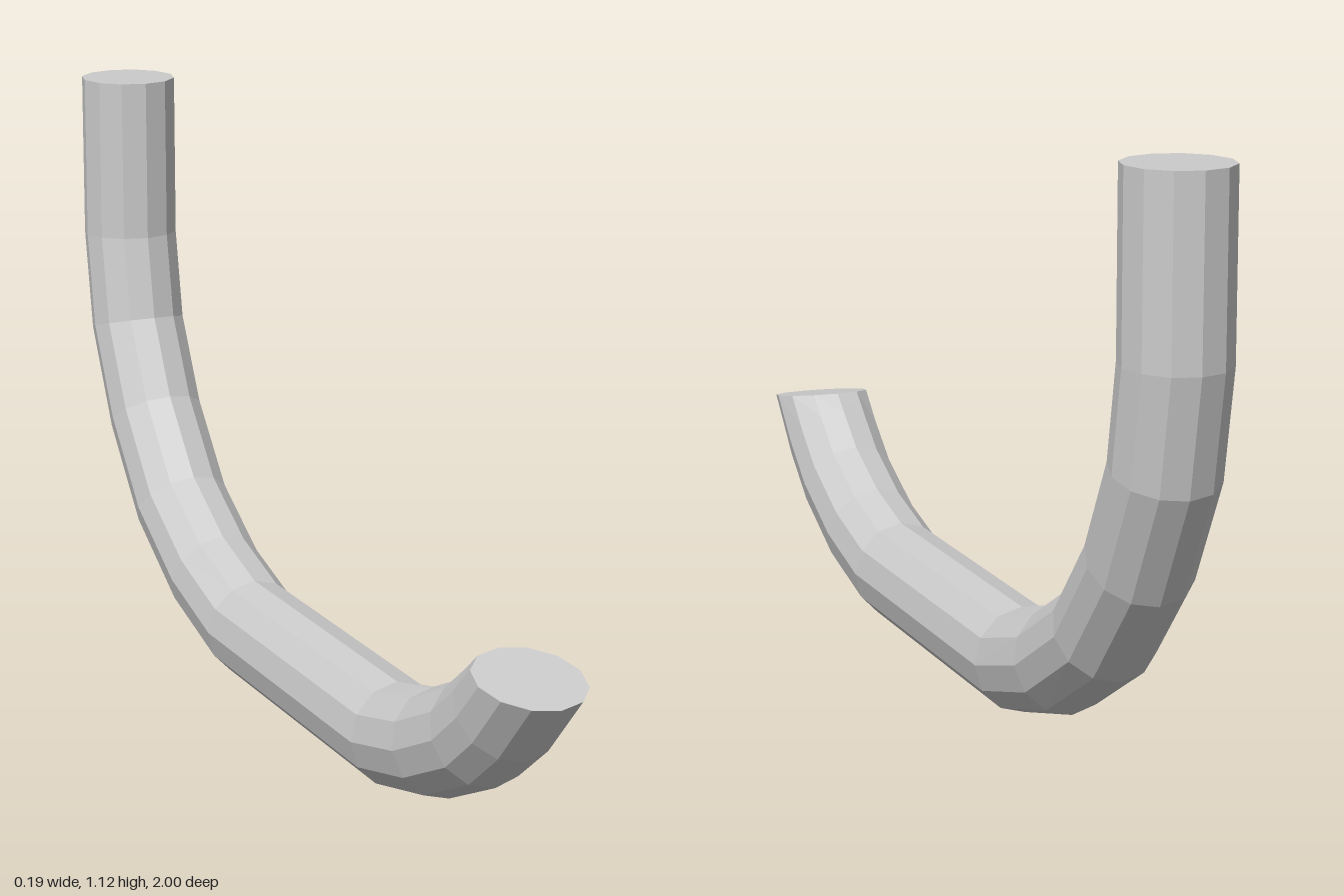
import * as THREE from 'three';

const SIDES = 12;
const HALF_WIDTH = 0.097;

// Stations along the pipe: z, y, heading of the section in degrees, in-plane radius
const STATIONS = [
  [-0.9, 1.12, -90, 0.1],
  [-0.9, 0.79, -88, 0.1],
  [-0.865, 0.6, -74, 0.1],
  [-0.77, 0.42, -56, 0.1],
  [-0.63, 0.26, -43, 0.1],
  [-0.45, 0.155, -23, 0.1],
  [-0.26, 0.1, -5, 0.1],
  [0.4, 0.1, 4, 0.1],
  [0.57, 0.143, 20, 0.1],
  [0.72, 0.215, 34, 0.1],
  [0.81, 0.287, 46, 0.1],
  [0.89, 0.37, 80, 0.112], // slanted cut
];

function pipeGeometry() {
  const pos = [];
  const index = [];
  const id = (k, i) => k * SIDES + (i % SIDES);

  // Rings of the wall
  for (const [z, y, deg, r] of STATIONS) {
    const h = THREE.MathUtils.degToRad(deg);
    for (let i = 0; i < SIDES; i++) {
      const a = (i / SIDES) * Math.PI * 2;
      const out = r * Math.cos(a);
      pos.push(HALF_WIDTH * Math.sin(a), y - Math.cos(h) * out, z + Math.sin(h) * out);
    }
  }
  const last = STATIONS.length - 1;
  for (let k = 0; k < last; k++) {
    for (let i = 0; i < SIDES; i++) {
      const a = id(k, i), b = id(k, i + 1), c = id(k + 1, i + 1), d = id(k + 1, i);
      index.push(a, b, d, b, c, d);
    }
  }

  // Flat end caps
  const start = pos.length / 3;
  for (const k of [0, last]) pos.push(0, STATIONS[k][1], STATIONS[k][0]);
  for (let i = 0; i < SIDES; i++) {
    index.push(start, id(0, i + 1), id(0, i));
    index.push(start + 1, id(last, i), id(last, i + 1));
  }

  const geo = new THREE.BufferGeometry();
  geo.setAttribute('position', new THREE.Float32BufferAttribute(pos, 3));
  geo.setIndex(index);
  const flat = geo.toNonIndexed();
  flat.computeVertexNormals();
  return flat;
}

export function createModel() {
  const group = new THREE.Group();
  group.name = 'bentPipe';
  const material = new THREE.MeshStandardMaterial({ color: 0xcccccc, flatShading: true });
  const pipe = new THREE.Mesh(pipeGeometry(), material);
  pipe.name = 'pipe';
  group.add(pipe);
  return group;
}
